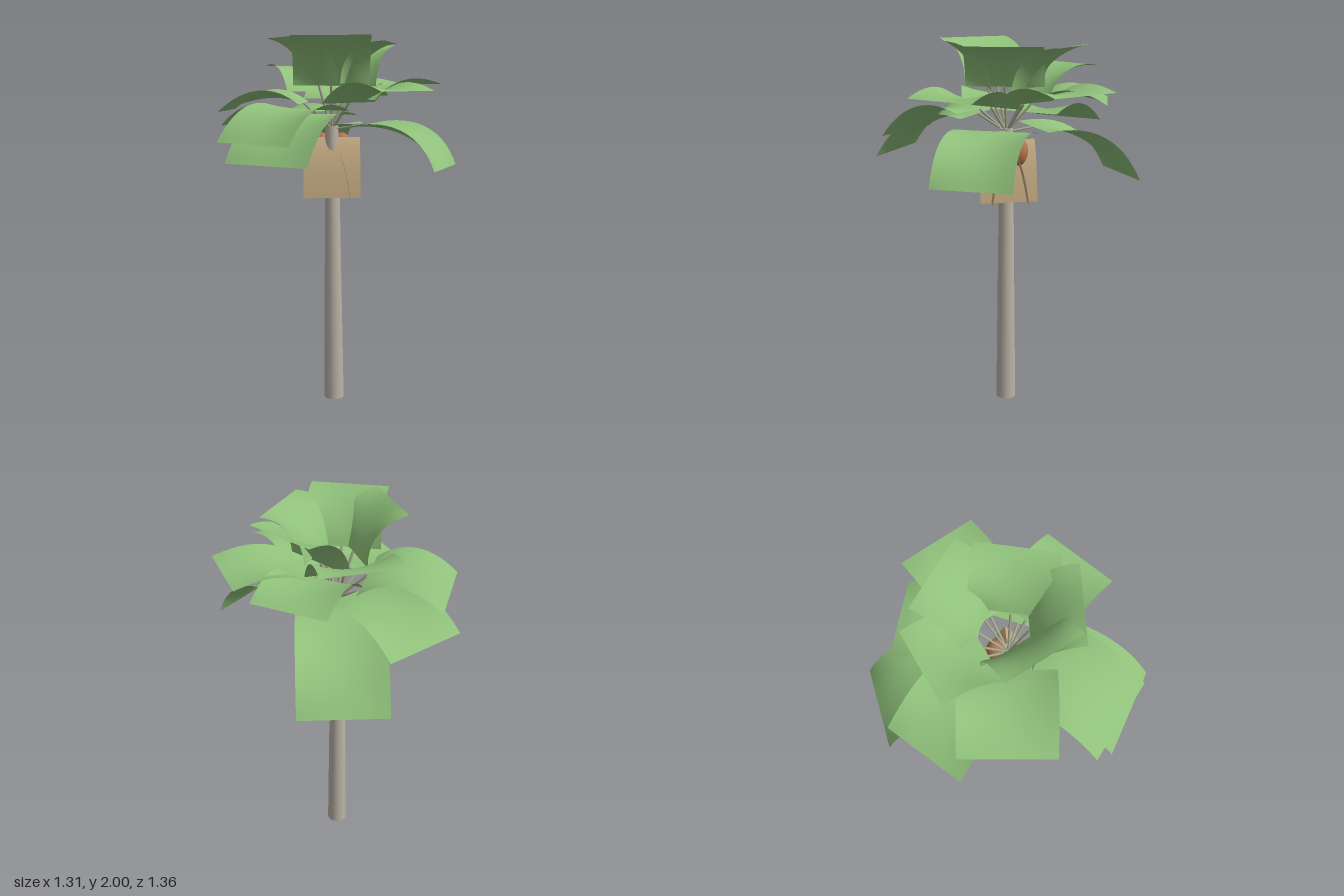
import * as THREE from 'three';

const mat = (color, side = THREE.FrontSide) => new THREE.MeshStandardMaterial({ color, side });
const bark = mat(0xbcb3a8);
const leaf = mat(0x8fc07a, THREE.DoubleSide);
const stalk = mat(0xa9ab90);
const husk = mat(0xc4aa82, THREE.DoubleSide);
const nutBrown = mat(0xb37650);

const CROWN = new THREE.Vector3(0.037, 1.53, 0.013);

// Fronds: angle in degrees (+x towards +z), width, then [radius, height]
// of the blade's inner edge, bend control and tip
const FRONDS = [
  // upright young fronds
  [-9.5, 0.4, [0.123, 1.75], [0.18, 1.93], [0.385, 1.97]],
  [197.4, 0.41, [0.08, 1.76], [0.11, 1.93], [0.284, 2.0]],
  [137.7, 0.4, [0.1, 1.755], [0.14, 1.93], [0.33, 2.0]],
  [59.6, 0.405, [0.09, 1.765], [0.13, 1.94], [0.318, 1.975]],
  [-68.8, 0.405, [0.13, 1.72], [0.25, 1.86], [0.445, 1.86]],
  // spreading middle fronds
  [15.2, 0.405, [0.14, 1.68], [0.32, 1.8], [0.586, 1.76]],
  [-28, 0.4, [0.14, 1.68], [0.3, 1.79], [0.524, 1.69]],
  [91.8, 0.4, [0.13, 1.665], [0.3, 1.79], [0.531, 1.73]],
  [231.5, 0.465, [0.15, 1.66], [0.35, 1.77], [0.571, 1.62]],
  // drooping old fronds
  [-91.7, 0.435, [0.15, 1.61], [0.42, 1.67], [0.654, 1.525]],
  [173.6, 0.46, [0.16, 1.63], [0.42, 1.7], [0.641, 1.48]],
  [165.6, 0.465, [0.16, 1.61], [0.45, 1.65], [0.655, 1.385]],
  [70, 0.405, [0.15, 1.545], [0.5, 1.59], [0.634, 1.34]],
  [-55.5, 0.435, [0.15, 1.54], [0.5, 1.55], [0.69, 1.25]],
];

function add(parent, name, geometry, material) {
  const mesh = new THREE.Mesh(geometry, material);
  mesh.name = name;
  parent.add(mesh);
  return mesh;
}

// Sheet following a curve in the local x-y plane, its long edges
// lifted by up to `cup` around the middle of its length
function sheet(curve, width, cup = 0) {
  const geo = new THREE.PlaneGeometry(width, 1, 8, 14);
  const p = geo.attributes.position;
  for (let i = 0; i < p.count; i++) {
    const across = p.getX(i), t = p.getY(i) + 0.5;
    const c = curve.getPoint(t), d = curve.getTangent(t);
    const lift = cup * Math.sin(Math.PI * t) * ((2 * across / width) ** 2 - 0.45);
    p.setXYZ(i, c.x - d.y * lift, c.y + d.x * lift, across);
  }
  geo.computeVertexNormals();
  return geo;
}

const bend = (a, b, c) => new THREE.QuadraticBezierCurve(
  new THREE.Vector2(...a), new THREE.Vector2(...b), new THREE.Vector2(...c));

// Group standing on the crown axis and turned to an angle
function turned(parent, name, degrees) {
  const g = new THREE.Group();
  g.name = name;
  g.position.set(CROWN.x, 0, CROWN.z);
  g.rotation.y = -THREE.MathUtils.degToRad(degrees);
  parent.add(g);
  return g;
}

export function createModel() {
  const model = new THREE.Group();
  model.name = 'palmTree';

  // Tapered trunk with a slight lean
  const height = 1.54;
  const trunkGeo = new THREE.CylinderGeometry(0.036, 0.055, height, 16, 4);
  trunkGeo.translate(0, height / 2, 0);
  const p = trunkGeo.attributes.position;
  for (let i = 0; i < p.count; i++) {
    const t = p.getY(i) / height;
    p.setX(i, p.getX(i) + THREE.MathUtils.lerp(0.046, CROWN.x, t));
    p.setZ(i, p.getZ(i) + THREE.MathUtils.lerp(0.027, CROWN.z, t));
  }
  add(model, 'trunk', trunkGeo, bark);

  // Fronds: thin stalk plus curved blade
  for (const [angle, width, inner, control, tip] of FRONDS) {
    const frond = turned(model, 'frond', angle);
    add(frond, 'blade', sheet(bend(inner, control, tip), width, 0.045), leaf);
    const stem = new THREE.LineCurve3(
      new THREE.Vector3(0, CROWN.y - 0.01, 0), new THREE.Vector3(inner[0], inner[1], 0));
    add(frond, 'stalk', new THREE.TubeGeometry(stem, 1, 0.0065, 6), stalk);
  }

  // Dry husk sheets hanging below the crown
  for (const angle of [45, -45, 135]) {
    const skirt = turned(model, 'drySkirt', angle);
    add(skirt, 'dryLeaf', sheet(bend([0, 1.48], [0.065, 1.39], [0.095, 1.16]), 0.305), husk);
  }

  // Pair of coconuts
  for (const [x, z] of [[0.115, 0.015], [0.045, -0.07]]) {
    const nut = add(model, 'coconut', new THREE.SphereGeometry(0.052, 20, 14), nutBrown);
    nut.scale.y = 1.45;
    nut.position.set(x, 1.425, z);
  }

  return model;
}
